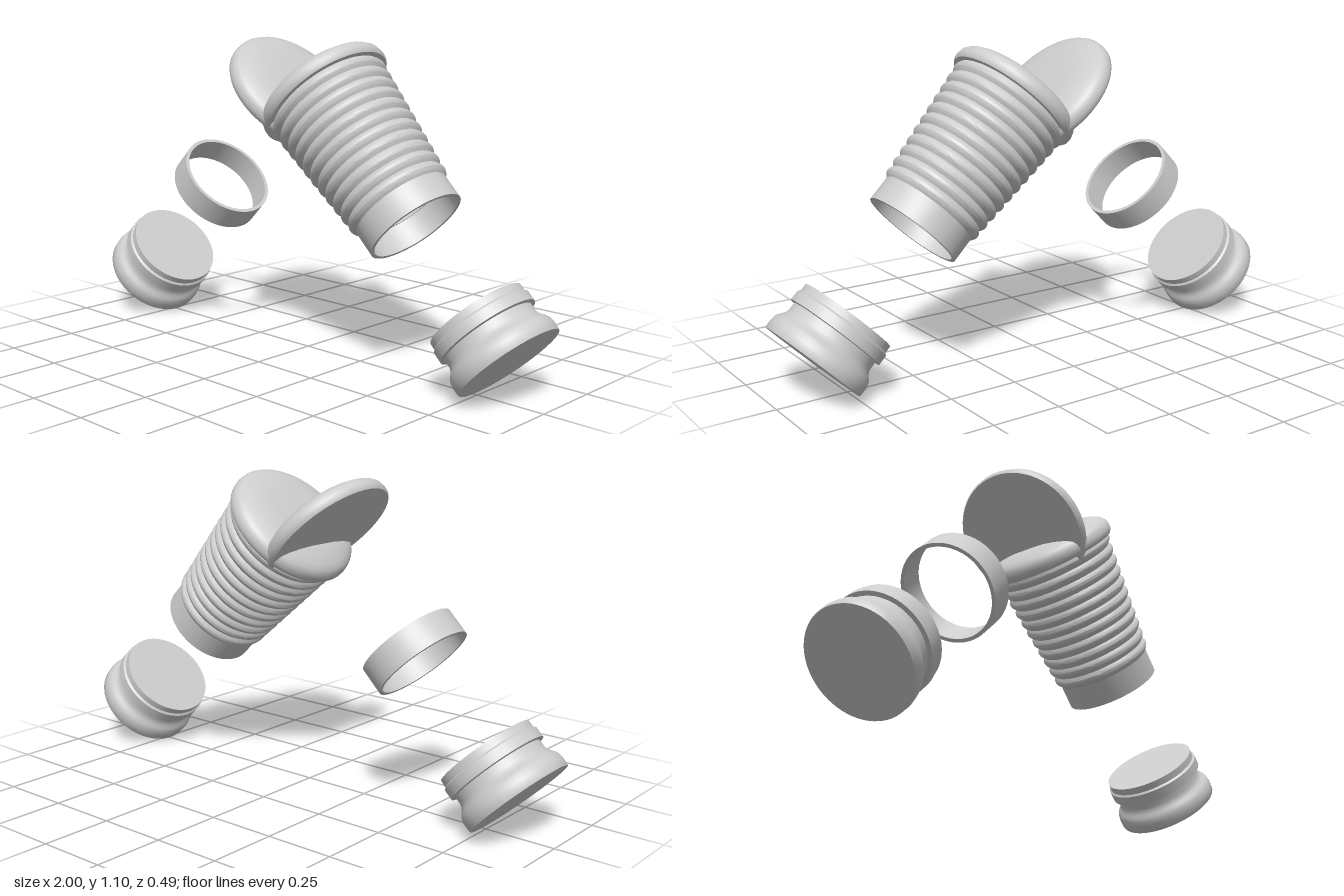
import * as THREE from 'three';
import { toCreasedNormals } from 'three/addons/utils/BufferGeometryUtils.js';

const SEGMENTS = 72;

export function createModel() {
  const model = new THREE.Group();
  model.name = 'containerSet';
  const grey = new THREE.MeshStandardMaterial({ color: 0xcccccc });
  grey.name = 'light grey';

  // Turned part from [radius, height] points, listed bottom to top on the outside
  function turned(name, points, crease = 0.6) {
    const lathe = new THREE.LatheGeometry(points.map(([r, y]) => new THREE.Vector2(r, y)), SEGMENTS);
    const mesh = new THREE.Mesh(toCreasedNormals(lathe, crease), grey);
    mesh.name = name;
    return mesh;
  }

  // Group tilted 45 degrees towards the middle; side is +1 (left) or -1 (right)
  function tilted(name, side, x, y) {
    const group = new THREE.Group();
    group.name = name;
    group.position.set(side * x, y, 0);
    group.rotation.z = side * Math.PI / 4;
    model.add(group);
    return group;
  }

  // Plain hollow band, used as the neck and as the loose ring
  const band = (name) => turned(name, [
    [0.161, 0], [0.174, 0], [0.174, 0.096], [0.161, 0.096], [0.161, 0],
  ]);

  // Domed disc, used as the cap and as the open lid
  const dome = (name) => turned(name, [
    [0, 0.556], [0.236, 0.556], [0.242, 0.565], [0.243, 0.578], [0.239, 0.596],
    [0.229, 0.609], [0.21, 0.62], [0.18, 0.63], [0.15, 0.637], [0.1, 0.639], [0, 0.64],
  ], 0.75);

  // Ribbed hollow wall, tapering towards the neck
  function ribbedWall() {
    const ribs = 11, steps = 8, y0 = 0.09, y1 = 0.56;
    const outer = [], inner = [];
    for (let i = 0; i <= ribs * steps; i++) {
      const t = i / (ribs * steps);
      const wave = Math.abs(Math.sin(Math.PI * i / steps));
      const r = 0.174 + 0.041 * t + 0.012 * wave;
      const y = y0 + (y1 - y0) * t;
      outer.push([r, y]);
      inner.unshift([r - 0.018, y]);
    }
    return turned('ribbedWall', [inner[inner.length - 1], ...outer, ...inner], 0.7);
  }

  // Main container with its cap
  tilted('container', 1, 0.489, 0.517).add(band('neck'), ribbedWall(), dome('cap'));

  // Open lid leaning the other way, and the loose ring on the same axis
  tilted('looseParts', -1, 0.489, 0.517).add(band('looseRing'), dome('openLid'));

  // Solid stoppers with a waist and a stepped flange
  for (const side of [1, -1]) {
    tilted(side > 0 ? 'leftStopper' : 'rightStopper', side, 0.868, 0.137).add(turned('stopper', [
      [0, 0], [0.187, 0], [0.189, 0.004], [0.19, 0.03], [0.187, 0.048], [0.181, 0.059], [0.173, 0.068],
      [0.166, 0.078], [0.163, 0.09], [0.163, 0.116], [0.178, 0.118], [0.178, 0.154],
      [0.171, 0.16], [0.171, 0.186], [0, 0.186],
    ]));
  }

  return model;
}
